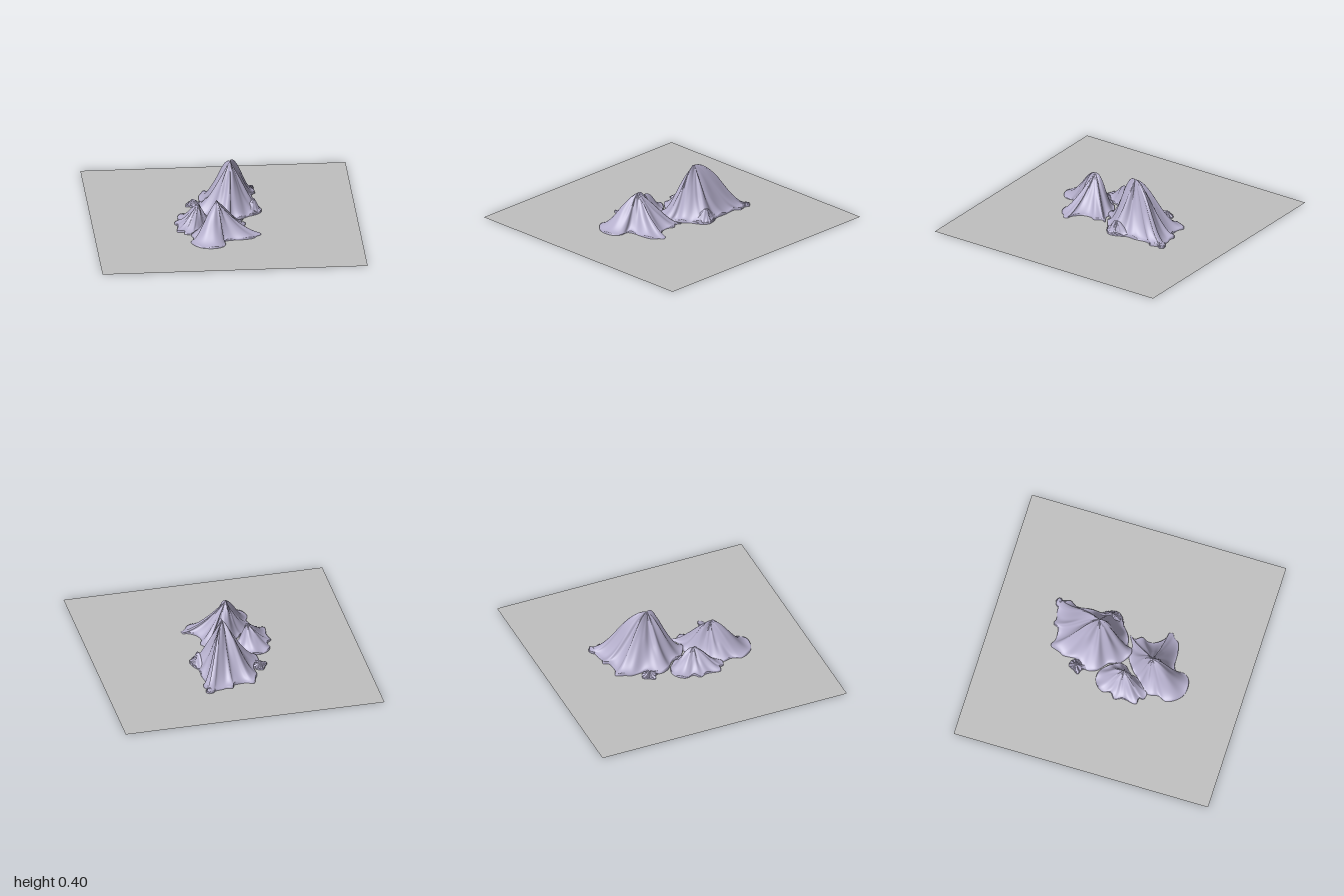
import * as THREE from 'three';

const rock = new THREE.MeshStandardMaterial({ color: 0xb4aecb });
rock.name = 'lavender rock';
const ground = new THREE.MeshStandardMaterial({ color: 0xc0c0c0, side: THREE.DoubleSide });
ground.name = 'grey ground';

// A mountain: rings shrink from a footprint outline to the summit.
// Slopes are sharp towards x and rounded along z, with gullies running downhill.
function mountain(name, [px, h, pz], outline, { lip = 0.012, gully = 0.2, phase = 0, round = 0 } = {}) {
  const curve = new THREE.CatmullRomCurve3(
    outline.map(([x, z]) => new THREE.Vector3(x, 0, z)), true, 'centripetal');
  const sides = 160, rings = 36;
  const edge = curve.getSpacedPoints(sides).slice(0, sides);
  const pos = [px, h, pz], index = [];
  for (let j = 1; j <= rings + 1; j++) {
    const t = Math.min(1, (j / rings) ** 1.15);
    for (const p of edge) {
      const dx = p.x - px, dz = p.z - pz;
      const a = Math.atan2(dz, dx);
      const along = Math.max(round, Math.sin(a) ** 2);
      const sharp = (1 - t) ** 1.4, soft = (1 + Math.cos(Math.PI * t)) / 2;
      const fold = Math.sin(5 * a + phase + 1.5 * t) * 0.6
        + Math.sin(9 * a + 2 * phase - 2 * t) * 0.35
        + Math.sin(17 * a + phase + 3 * t) * 0.2 * t;
      const slope = sharp + (soft - sharp) * along;
      let y = h * slope * (1 + gully * fold * Math.min(1, 2.2 * t));
      y += lip * t * (1 + 0.5 * Math.sin(11 * a + phase));
      // last ring drops straight to the ground
      if (j > rings) y = 0;
      pos.push(px + dx * t, y, pz + dz * t);
    }
  }
  for (let i = 0; i < sides; i++) {
    const n = (i + 1) % sides;
    index.push(0, 1 + n, 1 + i);
    for (let j = 0; j < rings; j++) {
      const a = 1 + j * sides, b = a + sides;
      index.push(a + i, a + n, b + i, a + n, b + n, b + i);
    }
  }
  const g = new THREE.BufferGeometry();
  g.setAttribute('position', new THREE.Float32BufferAttribute(pos, 3));
  g.setIndex(index);
  g.computeVertexNormals();
  const mesh = new THREE.Mesh(g, rock);
  mesh.name = name;
  return mesh;
}

export function createModel() {
  const model = new THREE.Group();
  model.name = 'mountainRange';

  // Flat square base
  const base = new THREE.Mesh(new THREE.PlaneGeometry(2, 2).rotateX(-Math.PI / 2), ground);
  base.name = 'groundPlane';
  model.add(base);

  // Tall rear peak
  model.add(mountain('mainPeak', [0.06, 0.39, -0.18], [
    [0.14, -0.54], [0.2, -0.55], [0.22, -0.57], [0.265, -0.56], [0.25, -0.53], [0.27, -0.47], [0.24, -0.42],
    [0.25, -0.32], [0.25, -0.22], [0.29, -0.1], [0.2, -0.03], [0.12, 0.03], [0.05, 0.05],
    [0.04, 0.08], [0.0, 0.09], [-0.04, 0.07], [-0.1, 0.02], [-0.12, -0.05], [-0.2, -0.12],
    [-0.22, -0.2], [-0.16, -0.28], [-0.16, -0.4], [-0.14, -0.44], [-0.11, -0.51], [-0.06, -0.49],
    [0.0, -0.49], [0.04, -0.5], [0.06, -0.54], [0.1, -0.53]], { phase: 0.6, gully: 0.17, lip: 0.016 }));

  // Middle-height front peak
  model.add(mountain('frontPeak', [-0.08, 0.262, 0.28], [
    [0.06, 0.08], [0.14, 0.04], [0.12, 0.08], [0.15, 0.13], [0.13, 0.18], [0.14, 0.24], [0.18, 0.29],
    [0.22, 0.31], [0.24, 0.31], [0.25, 0.34], [0.22, 0.36], [0.19, 0.4], [0.12, 0.42], [0.0, 0.43],
    [-0.03, 0.45], [-0.03, 0.51], [-0.06, 0.555], [-0.13, 0.575], [-0.22, 0.55], [-0.285, 0.45],
    [-0.26, 0.38], [-0.27, 0.3], [-0.18, 0.2], [-0.1, 0.12], [0.0, 0.07]], { phase: 2.1, gully: 0.17, lip: 0.01 }));

  // Low peak on the right flank
  model.add(mountain('sidePeak', [-0.2, 0.155, 0.09], [
    [-0.26, -0.11], [-0.2, -0.1], [-0.15, -0.06], [-0.1, 0.02], [-0.1, 0.07], [-0.15, 0.13],
    [-0.18, 0.2], [-0.24, 0.26], [-0.27, 0.295], [-0.32, 0.28], [-0.32, 0.25], [-0.37, 0.24],
    [-0.36, 0.13], [-0.38, 0.07], [-0.34, 0.03], [-0.35, -0.03], [-0.32, -0.08]], { phase: 1.2, gully: 0.16, round: 0.3 }));

  // Foothills: a knob at the foot, a steep spur and a corner lump
  model.add(mountain('foothill', [-0.215, 0.045, -0.28], [
    [-0.22, -0.335], [-0.17, -0.31], [-0.16, -0.26], [-0.19, -0.22], [-0.21, -0.19], [-0.23, -0.23], [-0.27, -0.25],
    [-0.25, -0.29]], { round: 0.8, gully: 0.1 }));
  model.add(mountain('eastSpur', [0.235, 0.1, -0.13], [
    [0.2, -0.26], [0.25, -0.22], [0.29, -0.1], [0.2, -0.03], [0.13, -0.06], [0.12, -0.18]],
    { round: 0.5, gully: 0.1 }));
  model.add(mountain('cornerLump', [0.24, 0.03, -0.53], [
    [0.21, -0.565], [0.25, -0.575], [0.27, -0.55], [0.255, -0.52], [0.27, -0.46], [0.22, -0.46],
    [0.19, -0.52]], { round: 0.8, gully: 0.1 }));

  return model;
}
